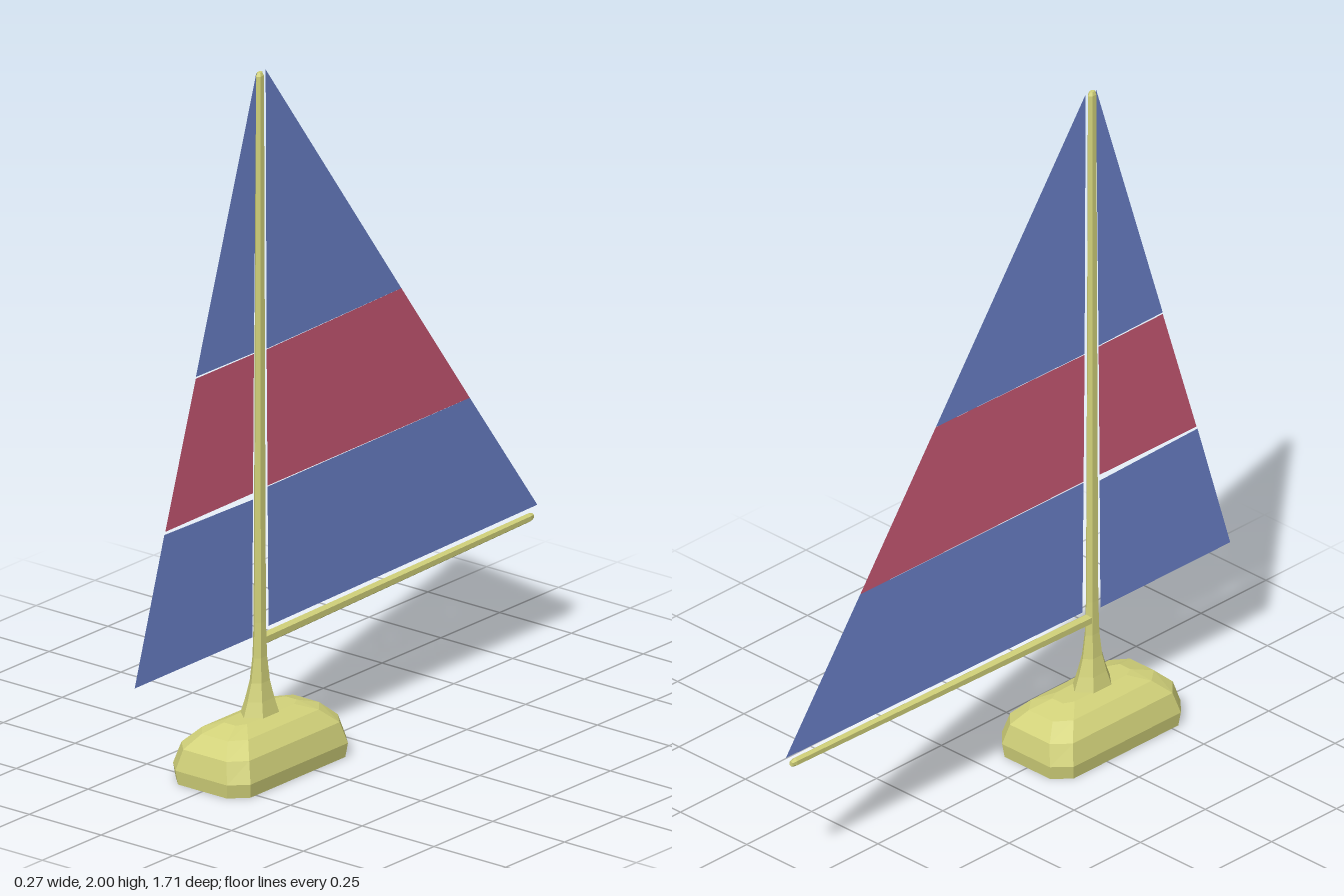
import * as THREE from 'three';

const paint = (color, side = THREE.FrontSide) =>
  new THREE.MeshStandardMaterial({ color, flatShading: true, side });

function add(parent, name, geometry, material) {
  const mesh = new THREE.Mesh(geometry, material);
  mesh.name = name;
  parent.add(mesh);
  return mesh;
}

// six-sided spar from [radius, height] pairs, flattened sideways
function sparGeometry(profile, flatten) {
  const points = profile.map(([r, y]) => new THREE.Vector2(r, y));
  return new THREE.LatheGeometry(points, 6).scale(flatten, 1, 1);
}

// stacked chamfered rectangles, each [y, halfX, halfZ, chamferX, chamferZ], capped at both ends
function hullGeometry(levels) {
  const pos = [], index = [];
  for (const [y, x, z, cx, cz] of levels) {
    const corners = [[x - cx, z], [x, z - cz], [x, cz - z], [x - cx, -z],
      [cx - x, -z], [-x, cz - z], [-x, z - cz], [cx - x, z]];
    for (const [px, pz] of corners) pos.push(px, y, pz);
  }
  const top = (levels.length - 1) * 8;
  for (let j = 0; j < 8; j++) {
    const k = (j + 1) % 8;
    for (let i = 0; i < top; i += 8) {
      index.push(i + j, i + k, i + 8 + k, i + j, i + 8 + k, i + 8 + j);
    }
    if (j > 0 && j < 7) index.push(0, k, j, top, top + j, top + k);
  }
  const geo = new THREE.BufferGeometry();
  geo.setAttribute('position', new THREE.Float32BufferAttribute(pos, 3));
  geo.setIndex(index);
  geo.computeVertexNormals();
  return geo;
}

// flat panel in the x = 0 plane from [z, y] corners
function panelGeometry(corners) {
  const shape = new THREE.Shape(corners.map(([z, y]) => new THREE.Vector2(z, y)));
  return new THREE.ShapeGeometry(shape).rotateY(-Math.PI / 2);
}

export function createModel() {
  const model = new THREE.Group();
  model.name = 'sailRig';
  const yellow = paint(0xd2d27a);
  const blue = paint(0x6c83cc, THREE.DoubleSide);
  const red = paint(0xcc5a76, THREE.DoubleSide);

  // rounded block that the mast stands on
  const base = add(model, 'base', hullGeometry([
    [0, 0.13, 0.247, 0.045, 0.045],
    [0.04, 0.135, 0.252, 0.045, 0.045],
    [0.1, 0.118, 0.237, 0.043, 0.045],
    [0.14, 0.08, 0.195, 0.035, 0.045],
    [0.16, 0.035, 0.13, 0.015, 0.03],
  ]), yellow);
  base.position.z = 0.322;

  // mast with flared foot
  const mast = add(model, 'mast', sparGeometry([
    [0, 0.15], [0.07, 0.155], [0.052, 0.2], [0.036, 0.25], [0.026, 0.32],
    [0.022, 0.42], [0.019, 1], [0.015, 1.99], [0.009, 2], [0, 2],
  ], 0.66), yellow);
  mast.position.z = 0.325;

  // boom running aft, rising slightly
  const boom = add(model, 'boom', sparGeometry([
    [0, 0], [0.018, 0], [0.013, 1.135], [0.008, 1.15], [0, 1.15],
  ], 0.8), yellow);
  boom.position.set(0, 0.365, 0.315);
  boom.rotation.x = -Math.PI / 2 + 0.018;

  // striped sails, slightly separated panels
  const sails = {
    mainsail: [
      [[0.3, 2], [0.296, 1.195], [-0.277, 1.203]],
      [[0.296, 1.193], [0.292, 0.8], [-0.568, 0.803], [-0.277, 1.203]],
      [[0.292, 0.797], [0.288, 0.395], [-0.855, 0.412], [-0.568, 0.803]],
    ],
    jib: [
      [[0.34, 2], [0.597, 1.201], [0.35, 1.199]],
      [[0.35, 1.196], [0.597, 1.196], [0.727, 0.793], [0.354, 0.796]],
      [[0.354, 0.778], [0.731, 0.785], [0.857, 0.38], [0.357, 0.382]],
    ],
  };
  const stripes = [['UpperPanel', blue], ['MiddlePanel', red], ['LowerPanel', blue]];
  for (const [name, panels] of Object.entries(sails)) {
    const sail = new THREE.Group();
    sail.name = name;
    panels.forEach((corners, i) =>
      add(sail, name + stripes[i][0], panelGeometry(corners), stripes[i][1]));
    model.add(sail);
  }
  return model;
}
